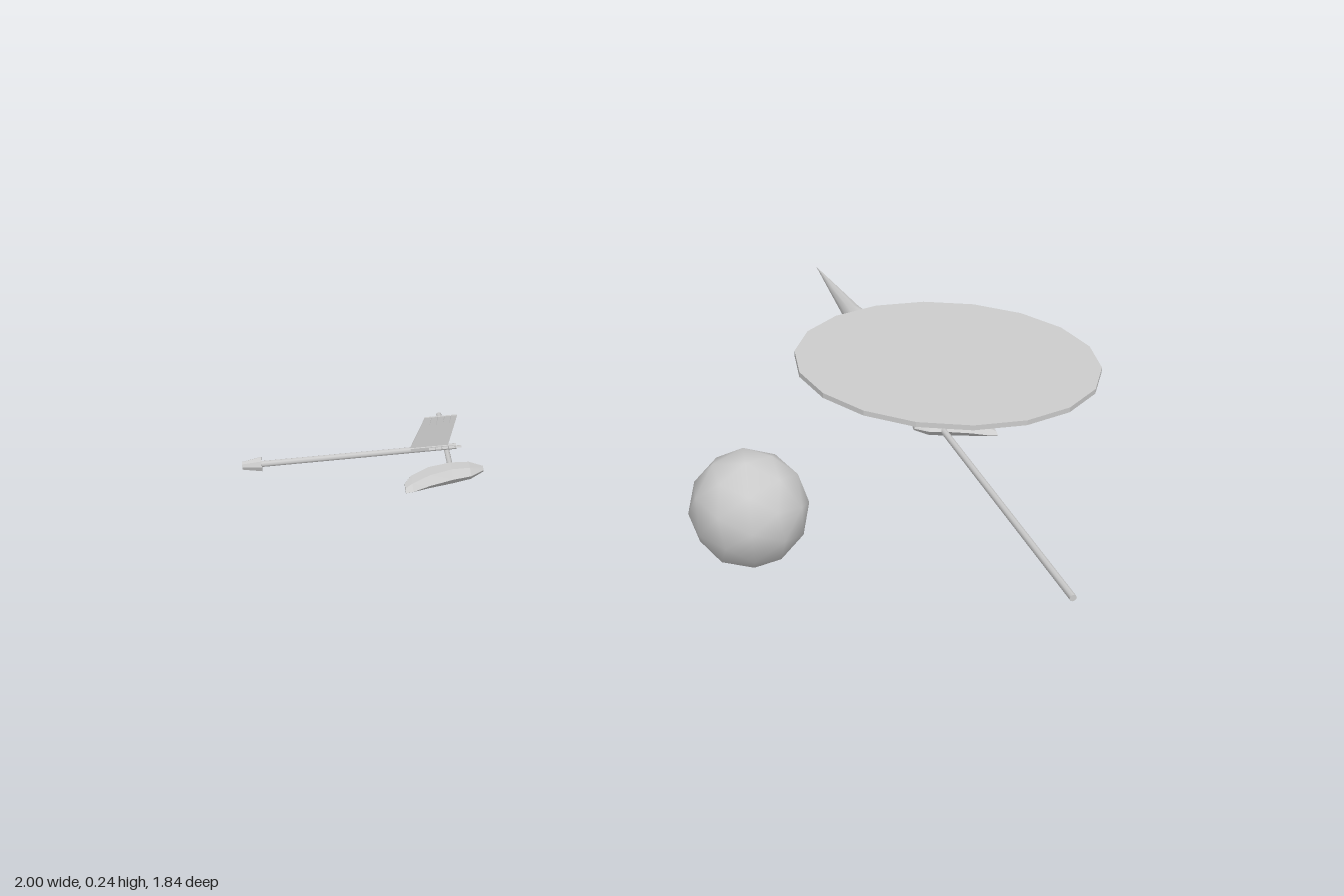
import * as THREE from 'three';
import { mergeVertices } from 'three/addons/utils/BufferGeometryUtils.js';

const smooth = new THREE.MeshStandardMaterial({ color: 0xcccccc });
const flat = new THREE.MeshStandardMaterial({ color: 0xcccccc, flatShading: true });

function add(parent, name, geometry, material = smooth) {
  const mesh = new THREE.Mesh(geometry, material);
  mesh.name = name;
  parent.add(mesh);
  return mesh;
}

// Closed rod along z between two positions
function rodZ(radius, z0, z1, sides = 8) {
  return new THREE.CylinderGeometry(radius, radius, z1 - z0, sides)
    .rotateX(Math.PI / 2).translate(0, 0, (z0 + z1) / 2);
}

// Loft of hexagonal sections along x: [x, zBack, zFront, halfHeight]
function loftX(stations, sides = 6) {
  const pos = [], idx = [];
  for (const [x, z0, z1, h] of stations) {
    for (let j = 0; j < sides; j++) {
      const a = (j / sides) * Math.PI * 2;
      pos.push(x, h * Math.sin(a), (z0 + z1) / 2 + ((z1 - z0) / 2) * Math.cos(a));
    }
  }
  const last = stations.length - 1;
  for (let i = 0; i < last; i++) {
    for (let j = 0; j < sides; j++) {
      const k = (j + 1) % sides;
      const a = i * sides + j, b = i * sides + k, c = a + sides, d = b + sides;
      idx.push(a, c, b, b, c, d);
    }
  }
  for (let j = 1; j < sides - 1; j++) {
    idx.push(0, j, j + 1, last * sides, last * sides + j + 1, last * sides + j);
  }
  const g = new THREE.BufferGeometry();
  g.setAttribute('position', new THREE.Float32BufferAttribute(pos, 3));
  g.setIndex(idx);
  g.computeVertexNormals();
  return g;
}

// Hand axe: straight handle with a flared stone head across its front end
function createAxe(name) {
  const axe = new THREE.Group();
  axe.name = name;
  add(axe, 'axeHandle', rodZ(0.006, -0.172, 0.13));
  add(axe, 'axeHead', loftX([
    [-0.106, 0.165, 0.21, 0.007],
    [-0.09, 0.13, 0.207, 0.012],
    [-0.05, 0.106, 0.186, 0.018],
    [0, 0.1, 0.168, 0.02],
    [0.04, 0.1, 0.16, 0.016],
    [0.07, 0.12, 0.136, 0.006],
  ]), flat);
  return axe;
}

// Arrow pointing along -x, with three swept, notched vanes
function createArrow() {
  const arrow = new THREE.Group();
  arrow.name = 'arrow';
  add(arrow, 'arrowShaft', new THREE.CylinderGeometry(0.007, 0.007, 0.43, 8)
    .rotateZ(Math.PI / 2).translate(-0.745, 0, 0));
  add(arrow, 'arrowHead', new THREE.CylinderGeometry(0.009, 0.017, 0.042, 8)
    .rotateZ(Math.PI / 2).translate(-0.979, 0, 0), flat);

  const barbs = 5, pitch = 0.0145;
  const outline = new THREE.Shape();
  outline.moveTo(-0.635, 0);
  for (let i = 0; i < barbs; i++) {
    const x = -0.595 + i * pitch;
    outline.lineTo(x, 0.077);
    outline.lineTo(x + pitch * 0.9, 0.077);
    if (i < barbs - 1) outline.lineTo(x + pitch * 0.55, 0.056);
  }
  outline.lineTo(-0.55, 0);
  outline.closePath();
  for (const angle of [0, 65, -65]) {
    const vane = add(arrow, 'fletching', new THREE.ExtrudeGeometry(outline, { depth: 0.005, bevelEnabled: false })
      .translate(0, 0, -0.0025), flat);
    vane.rotation.x = THREE.MathUtils.degToRad(angle);
  }
  arrow.position.set(0, 0.08, 0.043);
  return arrow;
}

// Long spear pointing along -z
function createSpear() {
  const spear = new THREE.Group();
  spear.name = 'spear';
  add(spear, 'spearShaft', rodZ(0.0075, -0.34, 0.92));
  const profile = [[0, 0.28], [0.008, 0.28], [0.017, 0.36], [0.04, 0.475], [0.026, 0.56], [0.013, 0.74], [0, 0.92]]
    .map(([r, y]) => new THREE.Vector2(r, y));
  add(spear, 'spearHead', new THREE.LatheGeometry(profile, 10).rotateX(-Math.PI / 2));
  spear.position.set(0.582, 0.06, 0);
  return spear;
}

export function createModel() {
  const model = new THREE.Group();
  model.name = 'primitiveWeapons';

  // Round flat shield
  const shield = add(model, 'shield', new THREE.CylinderGeometry(0.361, 0.361, 0.012, 18), flat);
  shield.rotation.y = Math.PI / 2;
  shield.position.set(0.639, 0.161, 0);

  model.add(createSpear(), createArrow());

  // Two axes, the second one turned over and lying along the spear
  const axe = createAxe('rightAxe');
  axe.position.set(-0.55, 0.06, 0);
  const turnedAxe = createAxe('leftAxe');
  turnedAxe.rotation.z = Math.PI;
  turnedAxe.position.set(0.59, 0.06, 0);
  model.add(axe, turnedAxe);

  // Rounded throwing stone
  const raw = new THREE.IcosahedronGeometry(0.125, 1);
  raw.deleteAttribute('normal');
  raw.deleteAttribute('uv');
  const ball = mergeVertices(raw, 1e-4);
  ball.computeVertexNormals();
  const stone = add(model, 'stone', ball);
  stone.rotation.set(0.2, 0.4, 0.15);
  stone.position.set(0.022, 0.125, 0.546);

  return model;
}
